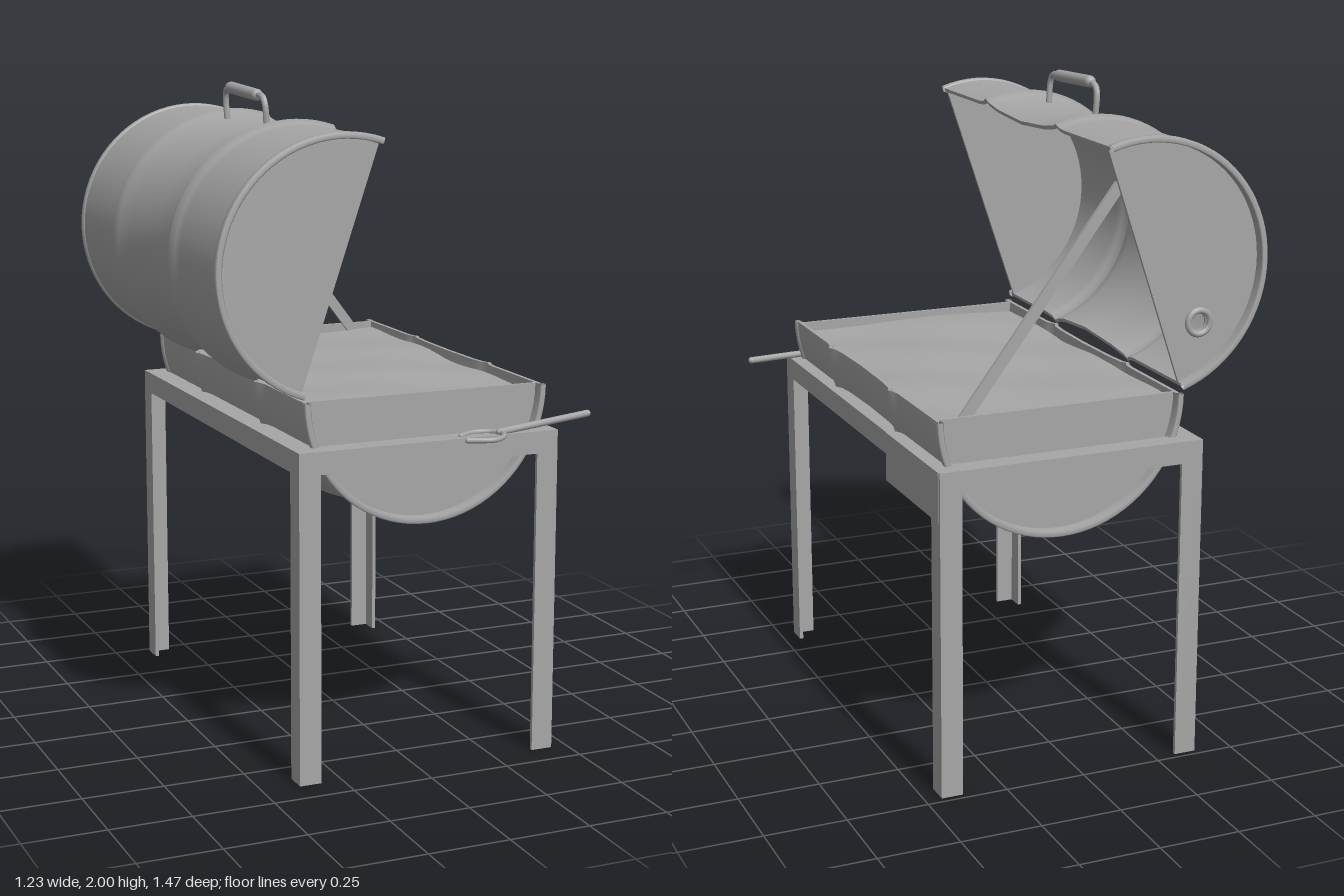
import * as THREE from 'three';

const steel = new THREE.MeshStandardMaterial({ color: 0xa6a6a6, side: THREE.DoubleSide });
steel.name = 'grey steel';

const R = 0.385, T = 0.012, Z0 = -0.68, Z1 = 0.61;

function add(parent, geometry, name, x = 0, y = 0, z = 0) {
  const mesh = new THREE.Mesh(geometry, steel);
  mesh.name = name;
  mesh.position.set(x, y, z);
  parent.add(mesh);
  return mesh;
}

function box(parent, name, w, h, d, x, y, z) {
  return add(parent, new THREE.BoxGeometry(w, h, d), name, x, y, z);
}

function tube(parent, name, points, radius, segments = 24) {
  const curve = new THREE.CatmullRomCurve3(points.map(p => new THREE.Vector3(...p)));
  add(parent, new THREE.TubeGeometry(curve, segments, radius, 8), name);
  for (const p of [points[0], points[points.length - 1]]) {
    add(parent, new THREE.SphereGeometry(radius, 8, 6), name + 'End', ...p);
  }
}

// Half a drum, open upward, axis along z, with two pressed ribs and a dented middle
function halfDrum(name, dent, hole) {
  const group = new THREE.Group();
  group.name = name;
  const wall = [[R, Z0 + 0.02], [R, -0.35], [R + 0.004, -0.32], [R + 0.014, -0.3], [R + 0.004, -0.28],
    [R - dent * 0.4, -0.2], [R - dent, -0.02], [R - dent * 0.4, 0.15], [R + 0.004, 0.205],
    [R + 0.016, 0.23], [R + 0.004, 0.255], [R, 0.29], [R, Z1 - 0.02]];
  const outer = wall.map(([r, z]) => new THREE.Vector2(r, z));
  const inner = wall.map(([r, z]) => new THREE.Vector2(r - T, z));
  const sweep = points => new THREE.LatheGeometry(points, 40, -Math.PI / 2, Math.PI).rotateX(Math.PI / 2);
  add(group, sweep(outer), 'drumOuterWall');
  add(group, sweep(inner), 'drumInnerWall');

  // Cut edges of the sheet
  const strip = new THREE.Shape([...outer, ...inner.slice().reverse()]);
  for (const s of [-1, 1]) {
    const edge = add(group, new THREE.ShapeGeometry(strip).rotateX(Math.PI / 2), 'cutEdge');
    edge.scale.x = s;
  }

  // Rolled rims and recessed end plates
  for (const [z, s] of [[Z0, 1], [Z1, -1]]) {
    const rim = [[R - 0.014, 0.035], [R - 0.014, 0.003], [R - 0.01, 0], [R + 0.002, 0],
      [R + 0.006, 0.004], [R + 0.006, 0.018], [R, 0.022]];
    add(group, sweep(rim.map(([r, d]) => new THREE.Vector2(r, z + s * d))), 'rolledRim');
    const disc = new THREE.Shape();
    disc.absarc(0, 0, R - 0.008, Math.PI, Math.PI * 2, false);
    disc.closePath();
    if (hole && s > 0) {
      const bung = new THREE.Path();
      bung.absarc(hole[0], hole[1], 0.026, 0, Math.PI * 2, true);
      disc.holes.push(bung);
      add(group, new THREE.TorusGeometry(0.036, 0.01, 8, 20), 'bungRing', hole[0], hole[1], z + 0.026);
    }
    const plate = new THREE.ExtrudeGeometry(disc, { depth: 0.01, bevelEnabled: false, curveSegments: 32 });
    add(group, plate, 'endPlate', 0, 0, z + s * 0.038 - 0.005);
  }
  return group;
}

export function createModel() {
  const model = new THREE.Group();
  model.name = 'drumBarbecue';

  // Lower drum half
  const base = halfDrum('fireBox', 0.006);
  base.position.set(0.045, 1.13, 0);
  model.add(base);

  // Uneven bed filling the lower half
  const bed = new THREE.PlaneGeometry(0.745, 1.19, 20, 30).rotateX(-Math.PI / 2);
  const pos = bed.attributes.position;
  for (let i = 0; i < pos.count; i++) {
    const x = pos.getX(i), z = pos.getZ(i);
    pos.setY(i, 0.005 * Math.sin(9 * x + 5 * z) + 0.004 * Math.sin(14 * z - 7 * x));
  }
  bed.computeVertexNormals();
  add(model, bed, 'coalBed', 0.045, 1.105, -0.035);

  // Open lid, hinged at the back edge of the fire box
  const lid = halfDrum('lid', 0.022, [0.224, -0.114]);
  lid.position.set(-0.222, 1.512, 0);
  lid.rotation.z = THREE.MathUtils.degToRad(251.3);
  model.add(lid);

  // Lid handle with grip
  const handle = new THREE.Group();
  handle.name = 'lidHandle';
  model.add(handle);
  tube(handle, 'handleRod', [[-0.27, 1.88, 0.13], [-0.275, 1.95, 0.13], [-0.277, 1.972, 0.115], [-0.278, 1.976, 0.06],
    [-0.278, 1.985, -0.14], [-0.277, 1.974, -0.195], [-0.275, 1.955, -0.207], [-0.27, 1.88, -0.207]], 0.01, 48);
  const grip = add(handle, new THREE.CapsuleGeometry(0.019, 0.22, 4, 12).rotateX(Math.PI / 2), 'handleGrip', -0.278, 1.98, -0.04);
  grip.rotation.x = 0.045;

  // Prop bar holding the lid open
  const from = new THREE.Vector2(-0.15, 1.76), to = new THREE.Vector2(0.34, 1.11);
  const bar = box(model, 'propBar', from.distanceTo(to), 0.034, 0.012,
    (from.x + to.x) / 2, (from.y + to.y) / 2, -0.625);
  bar.rotation.z = Math.atan2(to.y - from.y, to.x - from.x);

  // Angle iron stand
  const stand = new THREE.Group();
  stand.name = 'stand';
  stand.position.set(0.0325, 0, -0.035);
  model.add(stand);
  const hx = 0.4175, hz = 0.695, w = 0.068, t = 0.012;
  for (const sx of [-1, 1]) {
    box(stand, 'sideRailWeb', t, w, hz * 2, sx * (hx - t / 2), 1 - w / 2, 0);
    box(stand, 'sideRailFlange', w, t, hz * 2, sx * (hx - w / 2), 1 - t / 2, 0);
    for (const sz of [-1, 1]) {
      box(stand, 'legSide', t, 0.995, w, sx * (hx - t / 2), 0.4975, sz * (hz - w / 2));
      box(stand, 'legFace', w, 0.995, t, sx * (hx - w / 2), 0.4975, sz * (hz - t / 2));
    }
  }
  for (const sz of [-1, 1]) {
    box(stand, 'endRailWeb', hx * 2, w, t, 0, 1 - w / 2, sz * (hz - t / 2));
    box(stand, 'endRailFlange', hx * 2, t, w, 0, 1 - t / 2, sz * (hz - w / 2));
  }

  // Plate on one side rail
  box(model, 'sidePlate', 0.01, 0.15, 0.42, 0.447, 0.925, -0.51);

  // Two-pronged poker resting on the end rail
  const poker = new THREE.Group();
  poker.name = 'poker';
  model.add(poker);
  tube(poker, 'pokerHandle', [[0.6, 1.02, 0.57], [0.44, 1.014, 0.608], [0.26, 1.006, 0.648]], 0.011);
  tube(poker, 'pokerProng', [[0.265, 1.006, 0.647], [0.24, 1.004, 0.62], [0.19, 1.003, 0.61], [0.14, 1.002, 0.635]], 0.008);
  tube(poker, 'pokerProng', [[0.265, 1.006, 0.647], [0.255, 1.004, 0.69], [0.205, 1.003, 0.727], [0.13, 1.002, 0.7]], 0.008);

  return model;
}
